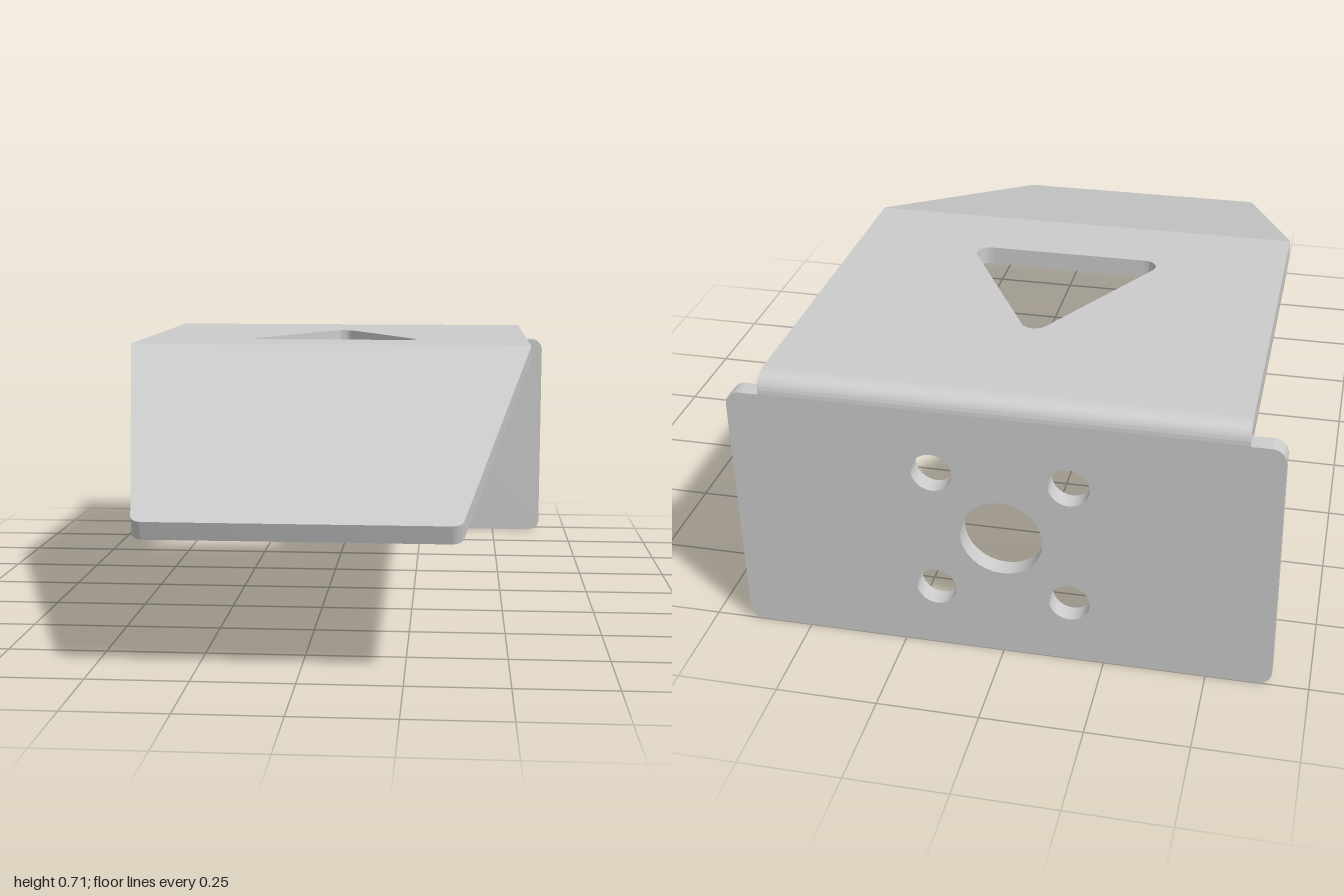
import * as THREE from 'three';
import { toCreasedNormals } from 'three/addons/utils/BufferGeometryUtils.js';

const T = 0.047;       // sheet thickness
const Y = 0.667;       // underside of the top panel
const BACK = -0.953;   // inner face of the back plate
const FOLD = -0.02;    // hinge line of the sloped panel
const HALF = 0.578;    // half width of the top panel
const SLOPE = 0.32;    // angle of the sloped panel

const material = new THREE.MeshStandardMaterial({ color: 0xcccccc });

// Counter-clockwise polygon from [x, y, cornerRadius] points
function roundedPolygon(points, path) {
  const n = points.length;
  points.forEach(([x, y, r], i) => {
    const p = new THREE.Vector2(x, y);
    if (!r) {
      if (i === 0) path.moveTo(x, y); else path.lineTo(x, y);
      return;
    }
    const [ax, ay] = points[(i + n - 1) % n], [bx, by] = points[(i + 1) % n];
    const u = new THREE.Vector2(ax, ay).sub(p).normalize();
    const v = new THREE.Vector2(bx, by).sub(p).normalize();
    const half = Math.acos(u.dot(v)) / 2, reach = r / Math.tan(half);
    const c = u.clone().add(v).normalize().multiplyScalar(r / Math.sin(half)).add(p);
    const s = u.multiplyScalar(reach).add(p).sub(c);
    const e = v.multiplyScalar(reach).add(p).sub(c);
    path.absarc(c.x, c.y, r, s.angle(), e.angle(), false);
  });
  path.closePath();
  return path;
}

// Rounded equilateral hole; dir is +1 when the tip points to +y
function triangleHole(baseY, dir) {
  const w = 0.269, r = 0.035, tip = [0, baseY + dir * w * Math.sqrt(3), r];
  const a = [-w * dir, baseY, r], b = [w * dir, baseY, r];
  return roundedPolygon([a, b, tip], new THREE.Path());
}

function roundHole(x, y, r) {
  return new THREE.Path().absarc(x, y, r, 0, Math.PI * 2, false);
}

function sheet(shape, depth = T) {
  const geometry = new THREE.ExtrudeGeometry(shape, { depth, bevelEnabled: false, curveSegments: 16 });
  return toCreasedNormals(geometry, 0.5);
}

function part(name, geometry) {
  const mesh = new THREE.Mesh(geometry, material);
  mesh.name = name;
  return mesh;
}

// Cylindrical wedge across the full width, in the (z, y) plane
function bend(name, z, from, to) {
  const shape = new THREE.Shape();
  shape.moveTo(0, 0);
  shape.absarc(0, 0, T, from, to, false);
  shape.closePath();
  const mesh = part(name, sheet(shape, HALF * 2).rotateY(-Math.PI / 2));
  mesh.position.set(HALF, Y, z);
  return mesh;
}

export function createModel() {
  const model = new THREE.Group();
  model.name = 'mountingBracket';

  // Upright back plate with a centre bore and four bolt holes
  const back = roundedPolygon([
    [-0.66, 0, 0.035], [0.66, 0, 0.035], [0.66, 0.665, 0.035], [HALF, 0.665, 0],
    [HALF, Y, 0], [-HALF, Y, 0], [-HALF, 0.665, 0], [-0.66, 0.665, 0.035],
  ], new THREE.Shape());
  back.holes.push(roundHole(0, 0.335, 0.101));
  for (const x of [-0.165, 0.165]) {
    for (const y of [0.17, 0.5]) back.holes.push(roundHole(x, y, 0.05));
  }
  const backPlate = part('backPlate', sheet(back));
  backPlate.position.z = BACK - T;
  model.add(backPlate);

  // Horizontal top panel
  const top = roundedPolygon([
    [-HALF, -FOLD, 0], [HALF, -FOLD, 0], [HALF, -BACK, 0], [-HALF, -BACK, 0],
  ], new THREE.Shape());
  top.holes.push(triangleHole(0.211, 1));
  const topPanel = part('topPanel', sheet(top).rotateX(-Math.PI / 2));
  topPanel.position.y = Y;
  model.add(topPanel);

  // Tapered panel sloping down to the front
  const length = 1.061;
  const slope = roundedPolygon([
    [-0.382, -length, 0.03], [0.382, -length, 0.03], [HALF, 0, 0], [-HALF, 0, 0],
  ], new THREE.Shape());
  slope.holes.push(triangleHole(-0.26, -1));
  const slopedPanel = part('slopedPanel', sheet(slope).rotateX(-Math.PI / 2));
  slopedPanel.position.set(0, Y, FOLD);
  slopedPanel.rotation.x = SLOPE;
  model.add(slopedPanel);

  // Folds joining the three panels
  model.add(bend('backBend', BACK, Math.PI / 2, Math.PI));
  model.add(bend('frontBend', FOLD, Math.PI / 2 - SLOPE, Math.PI / 2));
  return model;
}
